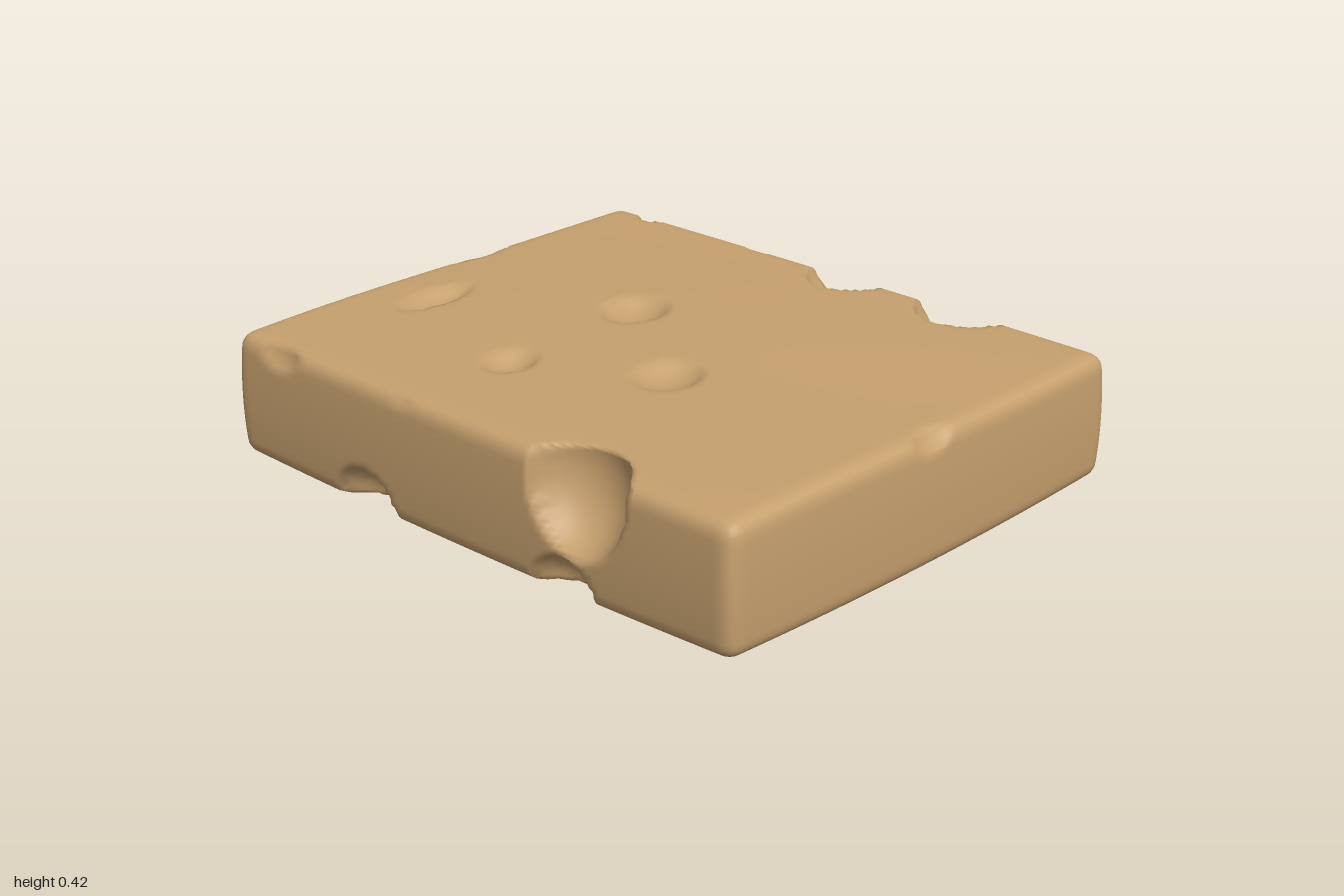
import * as THREE from 'three';
import { mergeVertices } from 'three/addons/utils/BufferGeometryUtils.js';

const HALF = new THREE.Vector3(0.82, 0.21, 0.995);
const ROUND = 0.045;

// A chip is an ellipsoid and the direction in which it pushes the surface
const chip = (cx, cy, cz, rx, ry, rz, dx, dy, dz) => ({
  c: new THREE.Vector3(cx, cy, cz),
  r: new THREE.Vector3(rx, ry, rz),
  d: new THREE.Vector3(dx, dy, dz).normalize(),
});

// Chips along the long edges; side is 1 for left and -1 for right
const upperChip = (side, z, depth, height, length) =>
  chip(side * 0.855, 0.44, z, depth, height, length, -side, -0.8, 0);
const lowerChip = (side, z, depth, height, length) =>
  chip(side * 0.86, 0, z, depth, height, length, -side, 0.7, 0);

// Shallow dent in the top face
const topDent = (x, z, rx, rz) => chip(x, 0.49, z, rx, 0.11, rz, 0, -1, 0);

function makeChips() {
  return [
    // left side
    upperChip(1, 0.46, 0.2, 0.16, 0.17),
    upperChip(1, 0.02, 0.2, 0.14, 0.15),
    upperChip(1, -0.35, 0.08, 0.09, 0.13),
    upperChip(1, -0.82, 0.11, 0.12, 0.07),
    lowerChip(1, 0.38, 0.18, 0.17, 0.15),
    lowerChip(1, -0.4, 0.17, 0.17, 0.13),
    // right side, with one deep bite
    chip(-0.85, 0.36, 0.44, 0.18, 0.22, 0.18, 1, -0.4, 0),
    upperChip(-1, -0.25, 0.07, 0.08, 0.12),
    upperChip(-1, -0.78, 0.08, 0.12, 0.14),
    lowerChip(-1, 0.38, 0.15, 0.14, 0.13),
    lowerChip(-1, -0.42, 0.16, 0.15, 0.14),
    // round hollow in the back and the thin bite above it
    chip(0.21, 0.23, -1.03, 0.2, 0.17, 0.16, 0, 0, 1),
    chip(0.16, 0.44, -1.02, 0.19, 0.09, 0.085, 0, -0.6, 1),
    // notch in the front upper edge
    chip(0, 0.45, 1.04, 0.13, 0.1, 0.11, 0, -1, -0.6),
    // top face
    topDent(-0.42, -0.22, 0.13, 0.1),
    topDent(-0.2, 0.19, 0.15, 0.13),
    topDent(-0.22, -0.76, 0.2, 0.08),
    topDent(0.11, -0.24, 0.15, 0.13),
  ];
}

// Push a point lying inside an ellipsoid along d until it reaches the far wall
function carve(p, { c, r, d }) {
  const q = p.clone().sub(c).divide(r);
  const inside = q.lengthSq() - 1;
  if (inside >= 0) return;
  const v = d.clone().divide(r);
  const a = v.lengthSq();
  const b = q.dot(v);
  p.addScaledVector(d, (-b + Math.sqrt(b * b - a * inside)) / a);
}

function slabGeometry() {
  let geo = new THREE.BoxGeometry(2 * HALF.x, 2 * HALF.y, 2 * HALF.z, 80, 22, 98);
  geo.deleteAttribute('normal');
  geo.deleteAttribute('uv');
  geo = mergeVertices(geo, 1e-4);
  const pos = geo.attributes.position;
  const chips = makeChips();
  const inner = HALF.clone().subScalar(ROUND);
  const innerMin = inner.clone().negate();
  const p = new THREE.Vector3();
  for (let i = 0; i < pos.count; i++) {
    p.fromBufferAttribute(pos, i);
    // rounded edges
    const core = p.clone().clamp(innerMin, inner);
    p.sub(core).setLength(ROUND).add(core);
    // gently bulging, worn faces
    const u = p.x / HALF.x, v = p.y / HALF.y, w = p.z / HALF.z;
    const sag = v < 0 ? 0.014 : 0.006;
    p.y *= 1 - (sag * (u * u + w * w)) / HALF.y;
    p.x *= 1 - 0.012 * v * v - 0.006 * w * w;
    p.z *= 1 - 0.008 * v * v - 0.009 * u * u;
    if (v > 0) p.y += 0.004 * v * Math.sin(4 * p.x + 0.5) * Math.cos(3 * p.z);
    p.y += HALF.y;
    chips.forEach((c) => carve(p, c));
    pos.setXYZ(i, p.x, p.y, p.z);
  }
  geo.computeVertexNormals();
  return geo;
}

export function createModel() {
  const group = new THREE.Group();
  group.name = 'chippedStoneSlab';
  const sandstone = new THREE.MeshStandardMaterial({ color: 0xc6a06e });
  sandstone.name = 'sandstone';
  const slab = new THREE.Mesh(slabGeometry(), sandstone);
  slab.name = 'slab';
  group.add(slab);
  return group;
}
